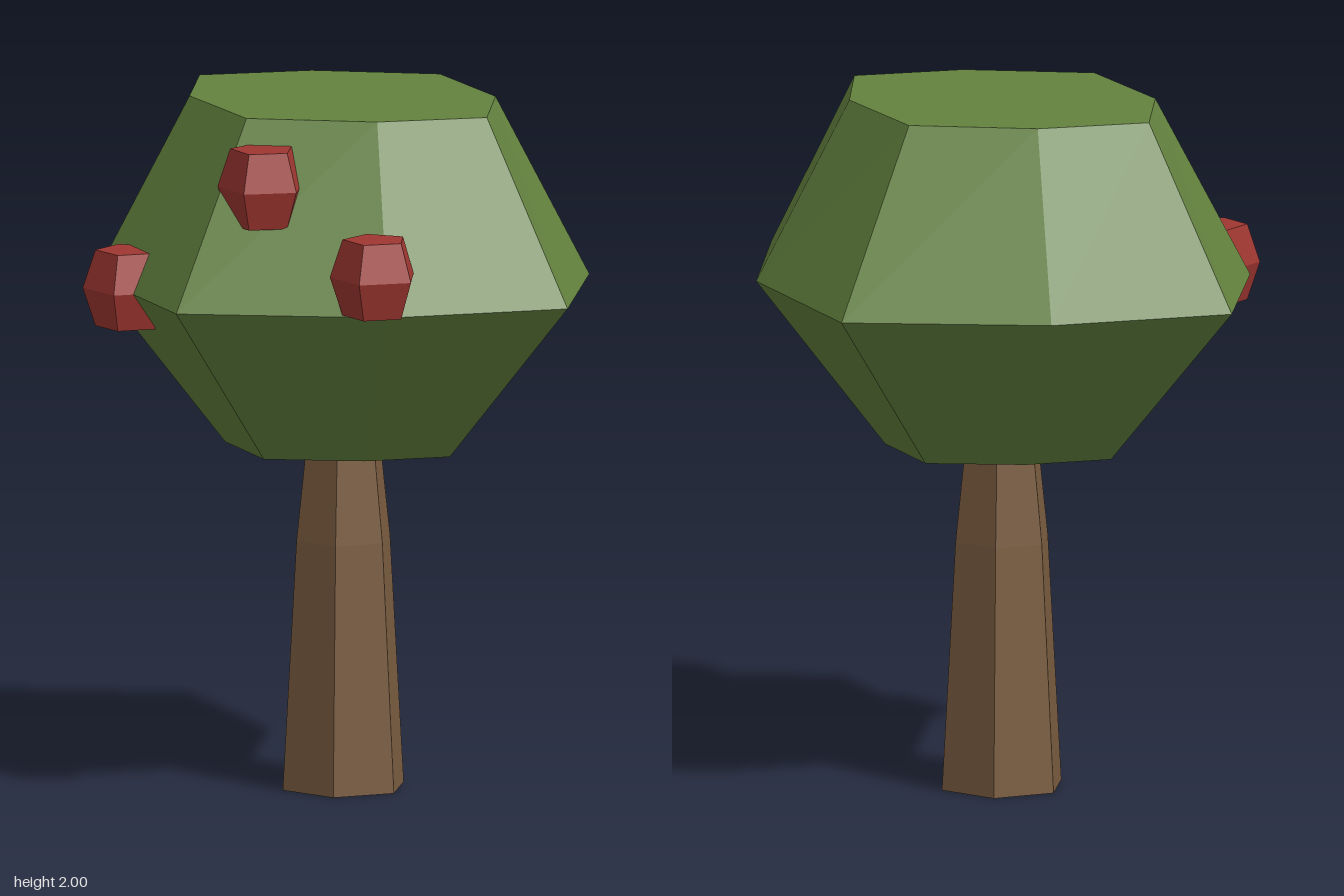
import * as THREE from 'three';

// Faceted solid through stacked rings of [x, z] points, capped at both ends
function loft(rings) {
  const pos = [];
  const tri = (...pts) => pts.forEach((p) => pos.push(...p));
  const loops = rings.map(({ y, pts }) => pts.map(([x, z]) => [x, y, z]));
  const n = loops[0].length;
  const low = loops[0];
  const high = loops[loops.length - 1];
  for (let i = 0; i < n; i++) {
    const j = (i + 1) % n;
    for (let r = 0; r < loops.length - 1; r++) {
      const a = loops[r], b = loops[r + 1];
      tri(a[j], a[i], b[i]);
      tri(a[j], b[i], b[j]);
    }
    tri([0, rings[0].y, 0], low[i], low[j]);
    tri([0, rings[rings.length - 1].y, 0], high[j], high[i]);
  }
  const geo = new THREE.BufferGeometry();
  geo.setAttribute('position', new THREE.Float32BufferAttribute(pos, 3));
  geo.computeVertexNormals();
  return geo;
}

// Regular polygon with its first corner turned from +x towards +z
function polygon(sides, radius, turn = 0) {
  return Array.from({ length: sides }, (_, i) => {
    const a = turn + (i / sides) * Math.PI * 2;
    return [Math.cos(a) * radius, Math.sin(a) * radius];
  });
}

export function createModel() {
  const tree = new THREE.Group();
  tree.name = 'fruitTree';
  const material = (name, color) => {
    const m = new THREE.MeshStandardMaterial({ color, flatShading: true });
    m.name = name;
    return m;
  };
  const bark = material('bark', 0x7a5c3f);
  const leaf = material('leafGreen', 0x64833f);
  const red = material('fruitRed', 0xa03731);

  const add = (name, geo, mat) => {
    const mesh = new THREE.Mesh(geo, mat);
    mesh.name = name;
    tree.add(mesh);
    return mesh;
  };

  // Six-sided trunk, tapering faster near the crown
  const trunk = [[0, 0.185], [0.72, 0.143], [1.02, 0.11]];
  add('trunk', loft(trunk.map(([y, r]) => ({ y, pts: polygon(6, r) }))), bark);

  // Eight-sided crown, widest at the middle
  const middle = [[0.82, 0], [0.51, 0.43], [0, 0.76], [-0.54, 0.46],
    [-0.82, 0], [-0.5, -0.43], [0, -0.76], [0.53, -0.46]];
  const top = [[0.525, 0], [0.325, 0.25], [0, 0.44], [-0.345, 0.27],
    [-0.525, 0], [-0.32, -0.255], [0, -0.44], [0.34, -0.27]];
  const bottom = middle.map(([x, z]) => [x * 0.475, z * 0.475]);
  add('crown', loft([
    { y: 1.0, pts: bottom }, { y: 1.48, pts: middle }, { y: 2.0, pts: top },
  ]), leaf);

  // Five-sided fruits, half sunk into the crown: x, y, z, turn
  const fruits = [
    [0.1, 1.82, 0.49, 0.07],
    [0.475, 1.595, 0.445, 0],
    [-0.36, 1.48, 0.53, -0.04],
  ];
  for (const [x, y, z, turn] of fruits) {
    const rings = [[-0.11, 0.094], [0, 0.13], [0.11, 0.094]];
    const geo = loft(rings.map(([h, r]) => ({ y: h, pts: polygon(5, r, turn) })));
    add('fruit', geo, red).position.set(x, y, z);
  }
  return tree;
}
